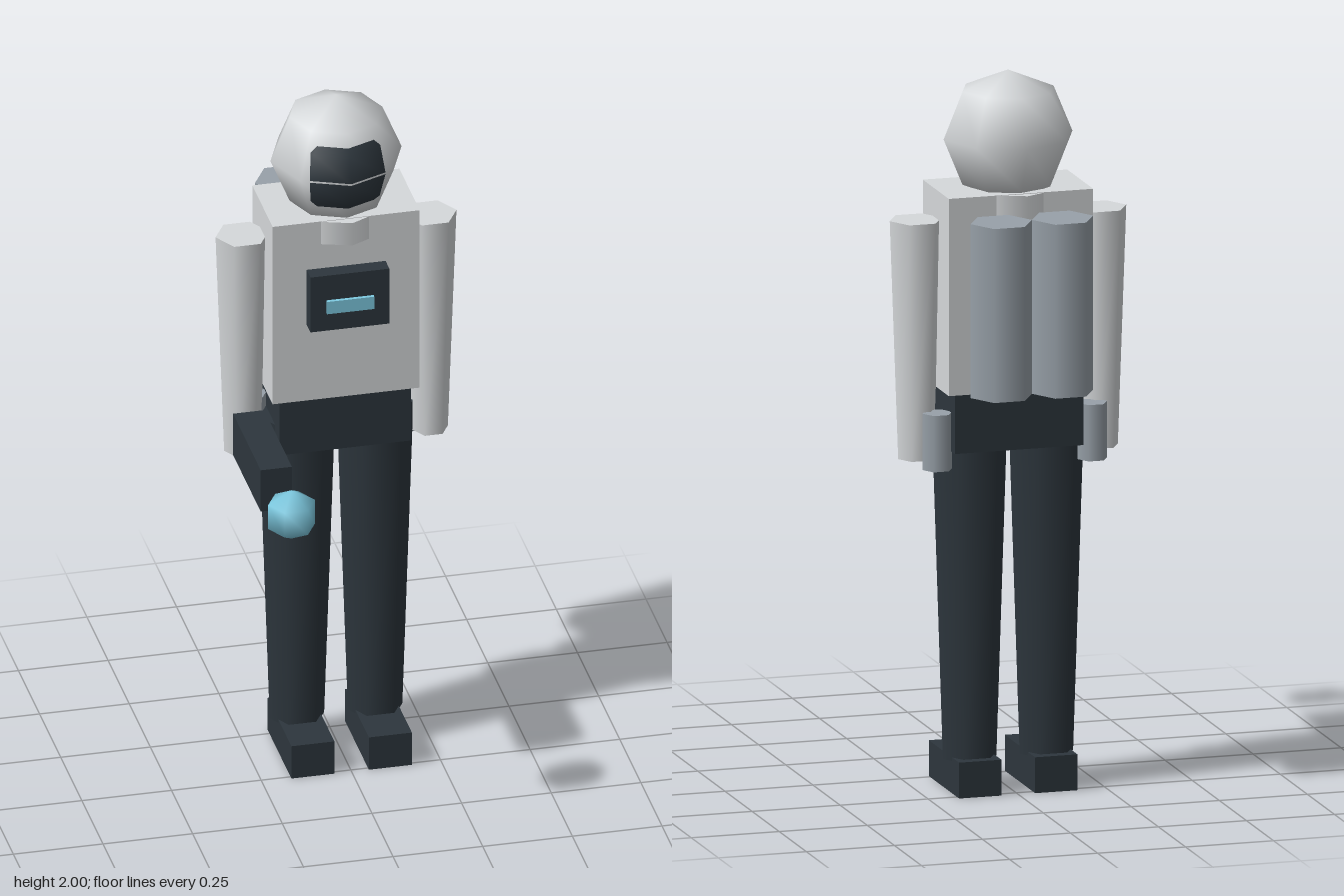
import * as THREE from 'three';

const paint = (name, color) => {
  const m = new THREE.MeshStandardMaterial({ color });
  m.name = name;
  return m;
};

export function createModel() {
  const model = new THREE.Group();
  const suit = paint('suit white', 0xd6d9db);
  const dark = paint('dark slate', 0x2d363d);
  const steel = paint('tank grey', 0x98a1a9);
  const glow = paint('glow blue', 0x7ecbe2);
  const BODY_Z = -0.175;

  const add = (name, geometry, material, x, y, z) => {
    const mesh = new THREE.Mesh(geometry, material);
    mesh.name = name;
    mesh.position.set(x, y, z);
    model.add(mesh);
    return mesh;
  };
  const box = (name, material, w, h, d, x, y, z) =>
    add(name, new THREE.BoxGeometry(w, h, d), material, x, y, z);
  // Six-sided tapered tube with corners on the left and right
  const tube = (name, material, rTop, rBottom, y0, y1, x, z) =>
    add(name, new THREE.CylinderGeometry(rTop, rBottom, y1 - y0, 6, 1, false, Math.PI / 6),
      material, x, (y0 + y1) / 2, z);

  // Helmet, with a visor bulging through its front
  add('helmet', new THREE.SphereGeometry(0.183, 8, 4), suit, 0, 1.817, BODY_Z);
  add('visor', new THREE.SphereGeometry(0.15, 8, 6), dark, 0, 1.817, BODY_Z + 0.0326);

  // Collar, just proud of the torso front and back
  const collar = add('collar', new THREE.CylinderGeometry(0.147, 0.147, 0.069, 8), suit, 0, 1.644, BODY_Z);
  collar.rotation.y = 0.08;

  // Torso, hips and chest unit
  box('torso', suit, 0.41, 0.55, 0.24, 0, 1.405, BODY_Z);
  box('hips', dark, 0.366, 0.167, 0.214, 0, 1.047, BODY_Z + 0.003);
  box('chestPanel', dark, 0.22, 0.17, 0.046, 0, 1.45, -0.033);
  box('chestLight', glow, 0.132, 0.038, 0.012, 0, 1.44, -0.006);

  // Paired limbs and gear
  for (const s of [-1, 1]) {
    const side = s > 0 ? 'left' : 'right';
    tube(side + 'Arm', suit, 0.074, 0.05, 0.935, 1.6, s * 0.262, BODY_Z);
    tube(side + 'Leg', dark, 0.107, 0.076, 0.09, 1.03, s * 0.109, BODY_Z);
    box(side + 'Boot', dark, 0.12, 0.1, 0.28, s * 0.108, 0.05, -0.13);
    tube(side + 'AirTank', steel, 0.087, 0.087, 1.145, 1.63, s * 0.087, -0.395);
    tube(side + 'HipCanister', steel, 0.042, 0.042, 0.915, 1.072, s * 0.22, -0.237);
  }

  // Handheld tool and the energy ball ahead of it
  box('handTool', dark, 0.087, 0.128, 0.327, -0.261, 1.025, 0.0625);
  add('energyBall', new THREE.SphereGeometry(0.075, 6, 3), glow, -0.262, 1.046, 0.41);

  return model;
}
